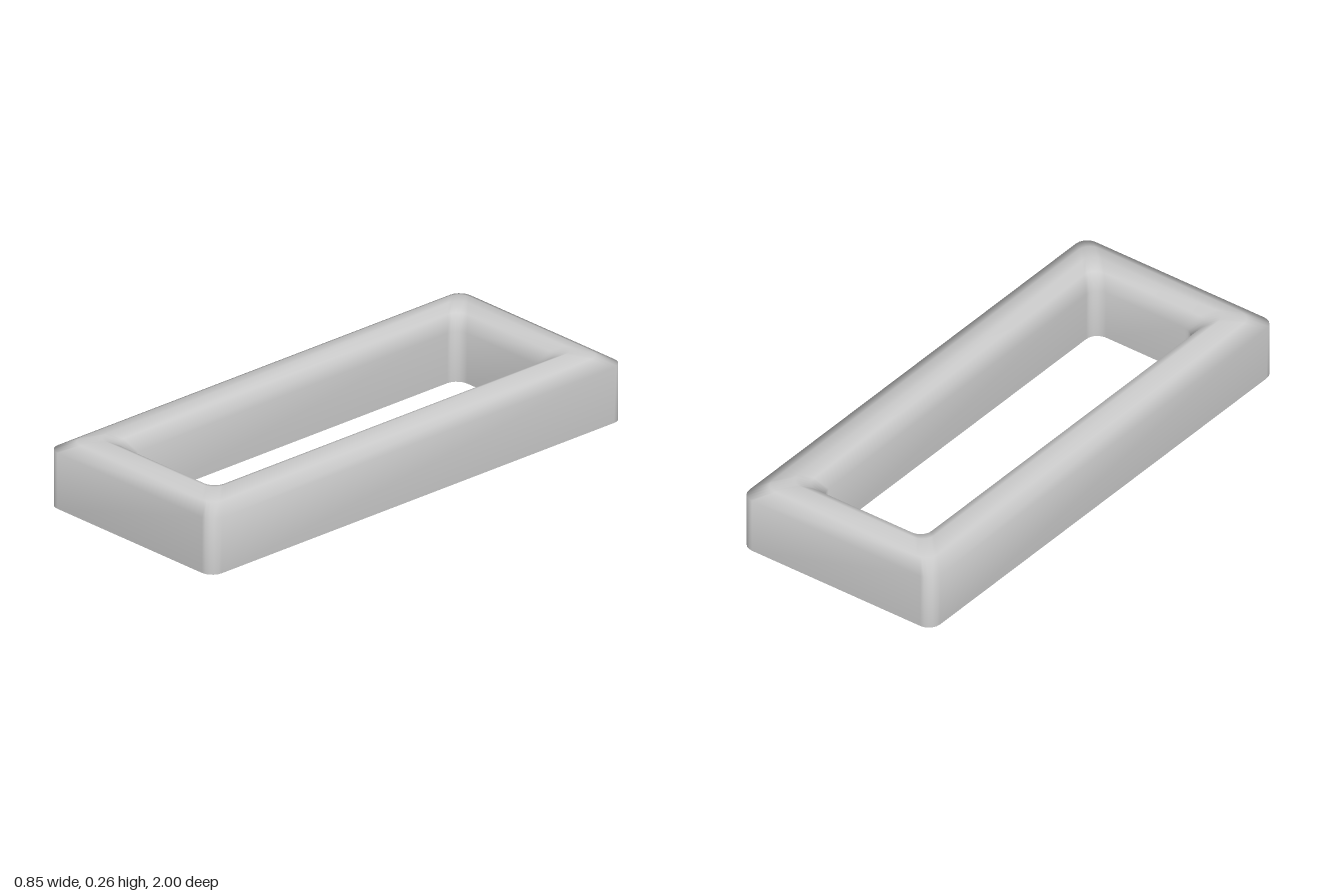
import * as THREE from 'three';

const HALF_X = 0.427, HALF_Z = 1, RADIUS = 0.05, STEPS = 5;

// Rounded rectangle outline, inset from the outer edge, at height y
function ring(inset, y) {
  const points = [];
  const cx = HALF_X - inset - RADIUS, cz = HALF_Z - inset - RADIUS;
  const corners = [[1, 1], [-1, 1], [-1, -1], [1, -1]];
  corners.forEach(([sx, sz], c) => {
    for (let i = 0; i <= STEPS; i++) {
      const a = (c + i / STEPS) * Math.PI / 2;
      points.push([sx * cx + RADIUS * Math.cos(a), y, sz * cz + RADIUS * Math.sin(a)]);
    }
  });
  return points;
}

// Skin a list of [inset, y] profile points swept around the frame
function sweep(name, profile, material) {
  const rings = profile.map(([inset, y]) => ring(inset, y));
  const n = rings[0].length;
  const index = [];
  for (let i = 0; i < rings.length - 1; i++) {
    for (let j = 0; j < n; j++) {
      const k = (j + 1) % n;
      const a = i * n + j, b = i * n + k, c = a + n, d = b + n;
      index.push(a, c, b, b, c, d);
    }
  }
  const geometry = new THREE.BufferGeometry();
  geometry.setAttribute('position', new THREE.Float32BufferAttribute(rings.flat(2), 3));
  geometry.setIndex(index);
  geometry.computeVertexNormals();
  const mesh = new THREE.Mesh(geometry, material);
  mesh.name = name;
  return mesh;
}

export function createModel() {
  const group = new THREE.Group();
  group.name = 'rectangularFrame';
  const material = new THREE.MeshStandardMaterial({ color: 0xcccccc });

  // Outer wall, bevelled crown and inner wall, smoothly shaded
  group.add(sweep('frameBody', [
    [0, 0], [0, 0.217], [0.057, 0.248], [0.122, 0.265],
    [0.163, 0.245], [0.2, 0.195], [0.2, 0],
  ], material));

  // Flat underside with sharp edges
  group.add(sweep('underside', [[0.2, 0], [0, 0]], material));
  return group;
}
